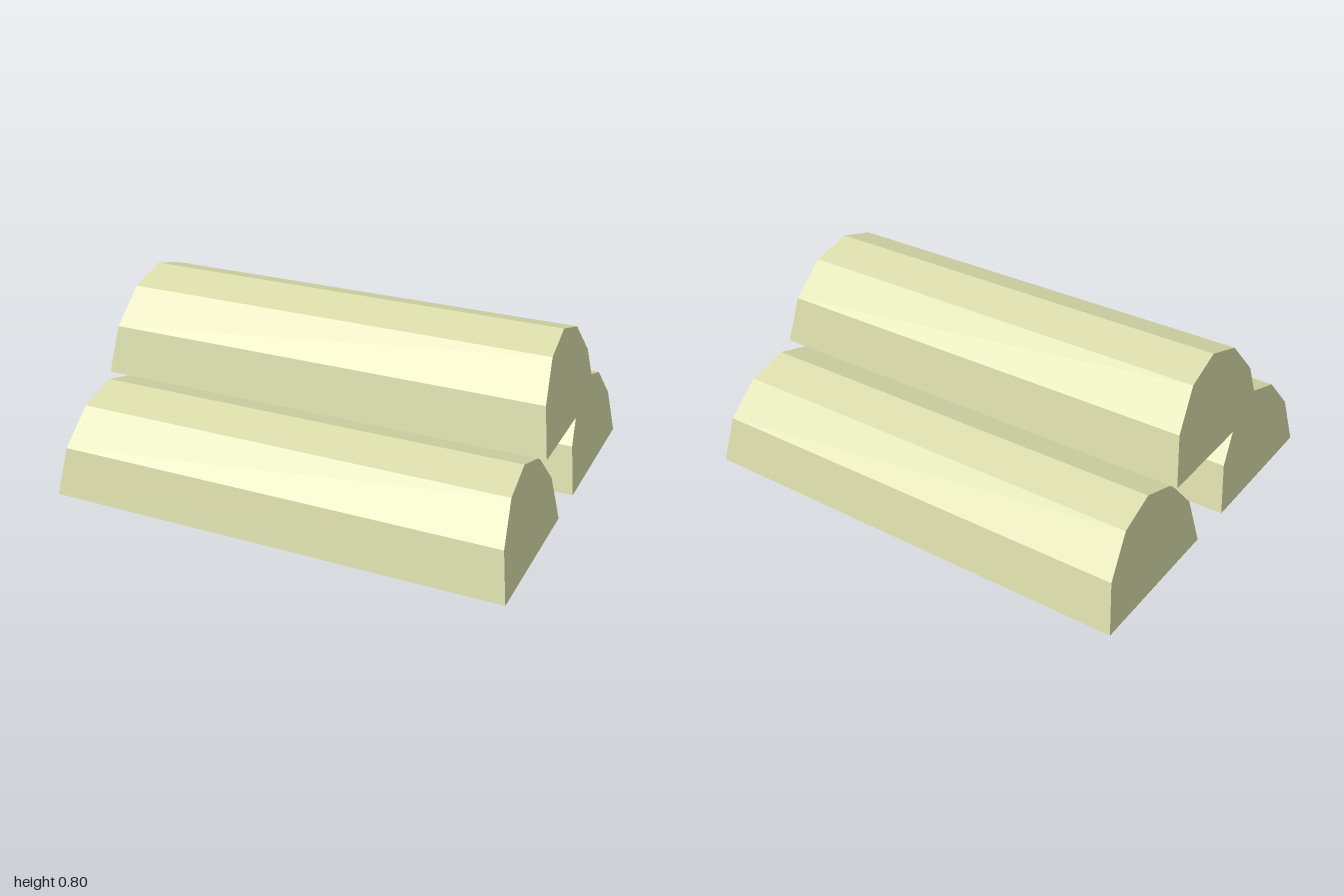
import * as THREE from 'three';

const wood = new THREE.MeshStandardMaterial({ name: 'pale wood', color: 0xd8daa9 });
const underside = new THREE.MeshStandardMaterial({ name: 'grey underside', color: 0xa0a0a0 });

// Half-round log along x: faceted arch section, ends leaning inward as they rise
function createLogGeometry() {
  const half = [[0.347, 0], [0.302, 0.206], [0.174, 0.355]];
  const outline = [...half, [0, 0.408], ...half.map(([z, y]) => [-z, y]).reverse()];
  const shape = new THREE.Shape(outline.map(([z, y]) => new THREE.Vector2(z, y)));
  const geometry = new THREE.ExtrudeGeometry(shape, { depth: 2, bevelEnabled: false });
  geometry.translate(0, 0, -1).rotateY(Math.PI / 2);

  const position = geometry.attributes.position;
  for (let i = 0; i < position.count; i++) {
    position.setX(i, position.getX(i) * (1 - 0.147 * position.getY(i)));
  }
  geometry.computeVertexNormals();

  // Flat base gets the underside colour, everything else is wood
  geometry.clearGroups();
  for (let i = 0; i < position.count; i += 3) {
    geometry.addGroup(i, 3, geometry.attributes.normal.getY(i) < -0.9 ? 1 : 0);
  }
  return geometry;
}

export function createModel() {
  const model = new THREE.Group();
  model.name = 'logPile';
  const geometry = createLogGeometry();

  // Two logs on the ground, one resting across the gap
  const logs = [
    ['frontLog', 0, 0.453],
    ['backLog', 0, -0.453],
    ['topLog', 0.394, 0.013],
  ];
  for (const [name, y, z] of logs) {
    const log = new THREE.Mesh(geometry, [wood, underside]);
    log.name = name;
    log.position.set(0, y, z);
    model.add(log);
  }
  return model;
}
